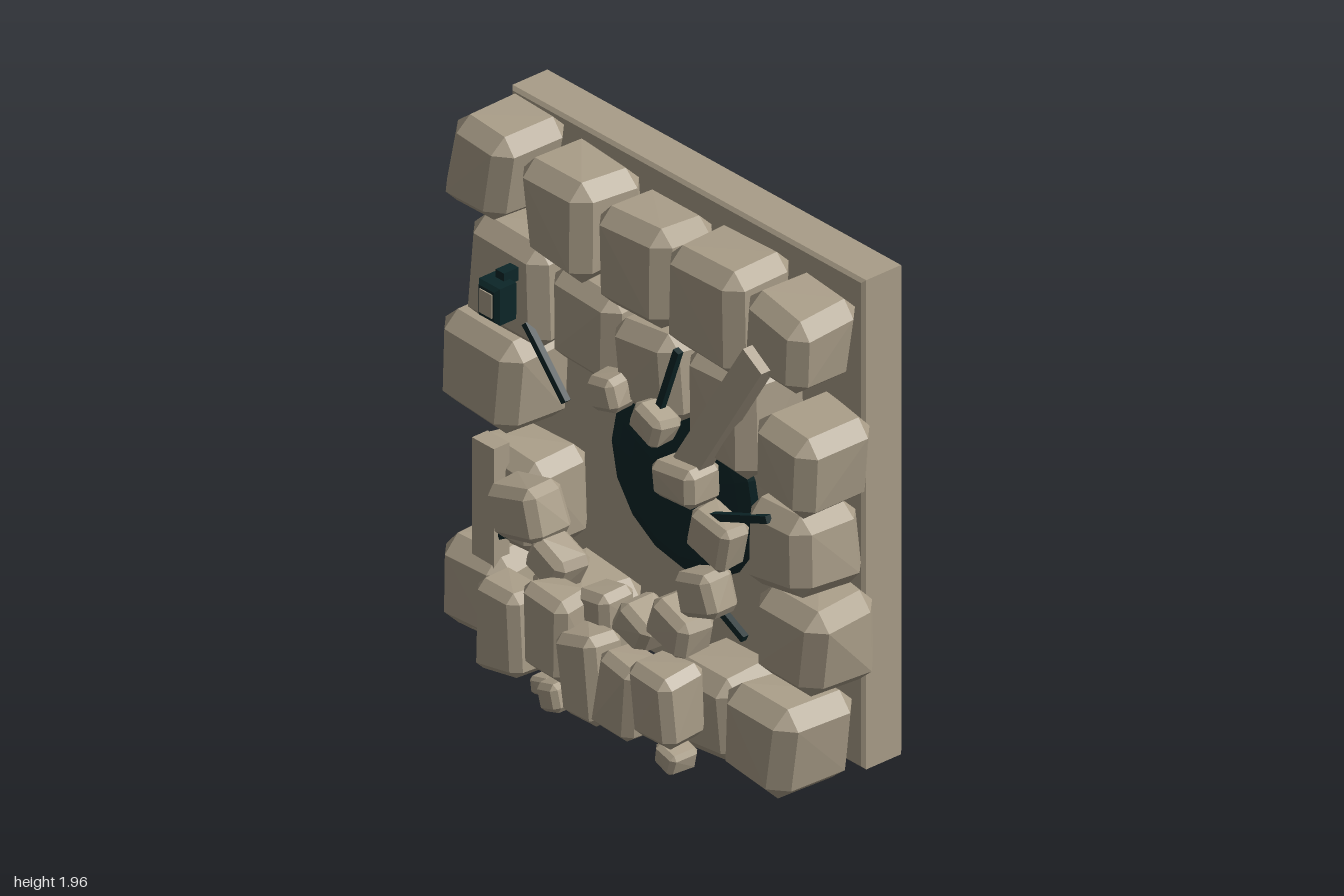
import * as THREE from 'three';
import { ConvexGeometry } from 'three/addons/geometries/ConvexGeometry.js';

const stoneMat = new THREE.MeshStandardMaterial({ color: 0xa99d88, flatShading: true });
stoneMat.name = 'sandstone';
const darkMat = new THREE.MeshStandardMaterial({ color: 0x0c2628, flatShading: true });
darkMat.name = 'dark teal';

// Small seeded generator for the irregular stones
function seeded(seed) {
  let s = seed * 7919 + 17;
  return () => (s = (s * 16807) % 2147483647) / 2147483647;
}

// Rough hewn block: a box with cut edges whose corners are pulled inwards unevenly
function blockGeometry(w, h, d, seed) {
  const rnd = seeded(seed);
  for (let i = 0; i < 5; i++) rnd();
  const points = [];
  const cut = Math.min(w, h, d) * 0.17;
  for (const sx of [-1, 1]) for (const sy of [-1, 1]) for (const sz of [-1, 1]) {
    const x = w / 2 * (1 - rnd() * 0.16), y = h / 2 * (1 - rnd() * 0.16), z = d / 2 * (1 - rnd() * 0.12);
    points.push(
      new THREE.Vector3(sx * x, sy * (y - cut), sz * (z - cut)),
      new THREE.Vector3(sx * (x - cut), sy * y, sz * (z - cut)),
      new THREE.Vector3(sx * (x - cut), sy * (y - cut), sz * z));
  }
  return new ConvexGeometry(points);
}

function add(parent, name, geometry, material, x, y, z, rz = 0) {
  const mesh = new THREE.Mesh(geometry, material);
  mesh.name = name;
  mesh.position.set(x, y, z);
  mesh.rotation.z = rz;
  parent.add(mesh);
  return mesh;
}

// Each row: left, right, bottom, top, back, front, roll
function addStones(parent, name, rows, seed) {
  rows.forEach(([x0, x1, y0, y1, z0, z1, roll], i) => {
    const a = Math.abs(roll), grow = 1.03 - a * 0.6;
    const geometry = blockGeometry((x1 - x0) * grow, (y1 - y0) * grow, z1 - z0, seed + i);
    add(parent, name + (i + 1), geometry, stoneMat, (x0 + x1) / 2, (y0 + y1) / 2, (z0 + z1) / 2, roll);
  });
}

// Square bar between two points of the wall plane
function addBar(parent, name, material, [x0, y0], [x1, y1], z, width, depth) {
  const geometry = new THREE.BoxGeometry(Math.hypot(x1 - x0, y1 - y0), width, depth);
  add(parent, name, geometry, material, (x0 + x1) / 2, (y0 + y1) / 2, z, Math.atan2(y1 - y0, x1 - x0));
}

// Slab or case with a narrow bevel
function bevelBox(w, h, d, b) {
  const s = new THREE.Shape();
  const x = w / 2 - b, y = h / 2 - b;
  s.moveTo(-x, -y); s.lineTo(x, -y); s.lineTo(x, y); s.lineTo(-x, y);
  const g = new THREE.ExtrudeGeometry(s, {
    depth: d - 2 * b, bevelEnabled: true, bevelSize: b, bevelThickness: b, bevelSegments: 1 });
  return g.translate(0, 0, b - d / 2);
}

export function createModel() {
  const model = new THREE.Group();
  model.name = 'breachedWall';

  add(model, 'backSlab', bevelBox(1.78, 1.88, 0.18, 0.012), stoneMat, -0.03, 1.01, -0.28);

  // Large masonry around the breach
  const wall = new THREE.Group();
  wall.name = 'wallStones';
  model.add(wall);
  addStones(wall, 'wallStone', [
    [-0.93, -0.59, 1.61, 2.00, -0.19, 0.14, -0.12],
    [-0.55, -0.18, 1.56, 1.97, -0.19, 0.14, 0.04],
    [-0.18, 0.18, 1.53, 1.93, -0.19, 0.13, 0.03],
    [0.16, 0.56, 1.52, 1.95, -0.19, 0.13, -0.02],
    [0.54, 0.89, 1.57, 1.92, -0.19, 0.13, -0.12],
    [-0.84, -0.42, 1.21, 1.62, -0.19, 0.13, -0.03],
    [-0.43, -0.08, 1.22, 1.60, -0.19, 0.11, -0.05],
    [-0.11, 0.23, 1.18, 1.54, -0.19, 0.12, 0.05],
    [0.26, 0.62, 1.15, 1.58, -0.19, 0.12, 0.04],
    [0.63, 0.97, 1.13, 1.51, -0.19, 0.15, -0.12],
    [-0.97, -0.54, 0.84, 1.22, -0.19, 0.15, -0.05],
    [0.56, 0.91, 0.79, 1.14, -0.19, 0.13, 0.08],
    [-0.82, -0.47, 0.39, 0.77, -0.19, 0.10, 0.02],
    [0.60, 0.97, 0.43, 0.82, -0.22, 0.13, -0.06],
    [-0.92, -0.56, 0.02, 0.40, -0.19, 0.18, 0.06],
    [0.50, 0.87, 0.03, 0.41, -0.19, 0.18, -0.10],
    [-0.55, -0.20, 0.01, 0.40, -0.19, 0.13, -0.06],
    [0.19, 0.53, 0.02, 0.37, -0.19, 0.13, 0.06],
  ], 11);

  // Broken rim of the breach
  const rim = new THREE.Group();
  rim.name = 'rimStones';
  model.add(rim);
  addStones(rim, 'rimStone', [
    [-0.14, 0.03, 1.19, 1.34, 0.06, 0.19, 0.25],
    [0.07, 0.26, 1.15, 1.32, 0.06, 0.19, -0.4],
    [0.23, 0.45, 1.02, 1.18, 0.06, 0.23, 0.08],
    [0.32, 0.56, 0.80, 1.01, 0.02, 0.16, -0.25],
    [0.32, 0.55, 0.60, 0.80, 0.06, 0.21, 0.3],
    [0.19, 0.44, 0.43, 0.63, 0.06, 0.23, -0.3],
    [0.01, 0.25, 0.36, 0.56, 0.06, 0.23, -0.45],
    [-0.61, -0.30, 0.52, 0.77, 0.04, 0.23, 0.3],
    [-0.43, -0.19, 0.41, 0.61, 0.06, 0.22, -0.4],
    [-0.15, 0.02, 0.35, 0.52, 0.06, 0.22, 0.1],
  ], 41);

  // Rubble piled against the foot of the wall
  const rubble = new THREE.Group();
  rubble.name = 'rubble';
  model.add(rubble);
  addStones(rubble, 'fallenStone', [
    [-0.51, -0.28, 0.10, 0.45, 0.17, 0.36, 0.01],
    [-0.29, -0.08, 0.17, 0.51, 0.14, 0.34, 0],
    [-0.11, 0.10, 0.08, 0.43, 0.17, 0.35, 0.12],
    [0.06, 0.28, 0.08, 0.42, 0.16, 0.34, -0.12],
    [0.26, 0.49, 0.16, 0.45, 0.16, 0.36, 0.06],
    [-0.29, -0.18, 0.07, 0.15, 0.20, 0.30, 0.2],
    [-0.21, -0.07, 0.06, 0.19, 0.22, 0.35, 0.3],
    [0.36, 0.49, 0.06, 0.17, 0.20, 0.33, -0.3],
  ], 71);

  // Dark breach, a very shallow dome on the slab
  const hole = add(model, 'breach', new THREE.SphereGeometry(0.375, 16, 10), darkMat, -0.03, 0.82, -0.19);
  hole.geometry.rotateX(Math.PI / 2);
  hole.scale.set(1, 0.95, 0.16);

  // Cracks radiating from the breach
  [[[-0.30, 1.11], [-0.50, 1.33]], [[0.17, 1.28], [0.265, 1.545]], [[0.42, 0.975], [0.72, 1.09]],
    [[0.40, 0.68], [0.60, 0.58]], [[-0.40, 0.59], [-0.63, 0.46]], [[0.24, 0.32], [0.36, 0.12]],
  ].forEach(([a, b], i) => addBar(model, 'crack' + (i + 1), darkMat, a, b, 0.11, 0.027, 0.024));

  // Leaning timbers
  addBar(model, 'fallenBeam', stoneMat, [0.34, 1.14], [0.69, 1.70], 0.125, 0.11, 0.065);
  addBar(model, 'uprightPost', stoneMat, [-0.685, 0.07], [-0.685, 0.80], 0.105, 0.11, 0.07);

  // Wall lantern with bracket and pale pane
  const lantern = new THREE.Group();
  lantern.name = 'lantern';
  lantern.position.set(-0.555, 1.43, 0.19);
  model.add(lantern);
  add(lantern, 'lanternCase', bevelBox(0.105, 0.14, 0.10, 0.014), darkMat, 0, 0, 0);
  add(lantern, 'lanternPane', new THREE.BoxGeometry(0.062, 0.09, 0.008), stoneMat, 0, 0, 0.051);
  add(lantern, 'lanternBracket', new THREE.BoxGeometry(0.042, 0.05, 0.10), darkMat, 0, 0.075, -0.06);

  return model;
}
